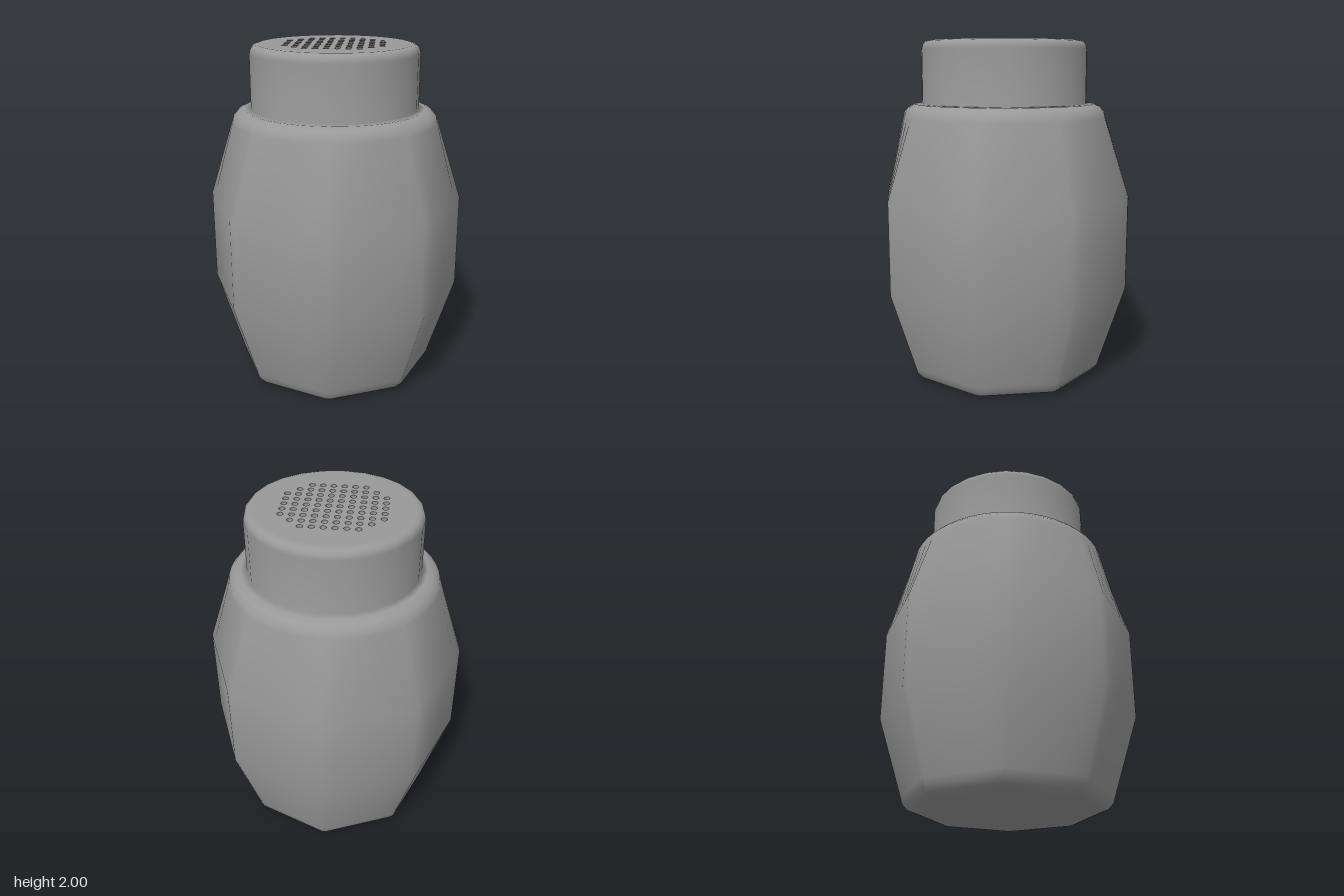
import * as THREE from 'three';

const rad = THREE.MathUtils.degToRad;
const lerp = THREE.MathUtils.lerp;

function part(name, geometry) {
  const mesh = new THREE.Mesh(geometry, new THREE.MeshStandardMaterial({ color: 0x999999 }));
  mesh.name = name;
  return mesh;
}

// Octagonal jar whose shoulder blends into a circle
function bodyGeometry() {
  // [radius, height, roundness: 0 = octagon, 1 = circle]
  const rings = [
    [0, 0, 0], [0.48, 0, 0], [0.52, 0.003, 0], [0.565, 0.02, 0], [0.592, 0.05, 0], [0.602, 0.085, 0],
    [0.75, 0.55, 0], [0.75, 1.1, 0],
    [0.602, 1.56, 0.9], [0.592, 1.59, 1], [0.565, 1.62, 1], [0.53, 1.635, 1], [0.5, 1.633, 1], [0, 1.633, 1],
  ];
  // Angles around each corner; the close pair makes its narrow bevel
  const angles = [];
  for (let corner = 0; corner < 8; corner++) {
    for (const d of [-15, -7.5, -1.2, 1.2, 7.5, 15, 22.5]) angles.push([corner * 45 + d, Math.abs(d)]);
  }
  const positions = [], index = [], n = angles.length;
  for (const [radius, y, round] of rings) {
    for (const [a, d] of angles) {
      const octagon = radius * Math.cos(rad(21.3)) / Math.cos(rad(22.5 - d));
      const r = lerp(octagon, radius, round);
      positions.push(r * Math.cos(rad(a)), y, r * Math.sin(rad(a)));
    }
  }
  for (let i = 0; i < rings.length - 1; i++) {
    for (let j = 0; j < n; j++) {
      const a = i * n + j, b = i * n + (j + 1) % n;
      index.push(a, a + n, b, b, a + n, b + n);
    }
  }
  const geometry = new THREE.BufferGeometry();
  geometry.setAttribute('position', new THREE.Float32BufferAttribute(positions, 3));
  geometry.setIndex(index);
  geometry.computeVertexNormals();

  // Turn the normals partly outward, so the corners shade softly
  const normal = geometry.attributes.normal;
  const v = new THREE.Vector3();
  for (let i = 0; i < normal.count; i++) {
    v.fromBufferAttribute(normal, i);
    const a = rad(angles[i % n][0]), h = Math.hypot(v.x, v.z);
    v.set(lerp(v.x, h * Math.cos(a), 0.6), v.y, lerp(v.z, h * Math.sin(a), 0.6)).normalize();
    normal.setXYZ(i, v.x, v.y, v.z);
  }
  return geometry;
}

// Flat lid with rows of small round holes
function perforatedTopGeometry(radius, depth) {
  const points = [];
  for (let i = 0; i < 24; i++) {
    const a = (i / 24) * Math.PI * 2;
    points.push(new THREE.Vector2(radius * Math.cos(a), radius * Math.sin(a)));
  }
  const shape = new THREE.Shape(points);
  const pitch = 0.0605;
  for (let row = -4; row <= 4; row++) {
    const count = [10, 10, 10, 8, 6][Math.abs(row)];
    for (let k = 0; k < count; k++) {
      const x = (k - (count - 1) / 2) * pitch;
      shape.holes.push(new THREE.Path().absarc(x, row * pitch, 0.017, 0, Math.PI * 2, true));
    }
  }
  const geometry = new THREE.ExtrudeGeometry(shape, { depth, bevelEnabled: false, curveSegments: 12 });
  return geometry.rotateX(-Math.PI / 2);
}

export function createModel() {
  const group = new THREE.Group();
  group.name = 'shaker';

  group.add(part('body', bodyGeometry()));

  // Round cap flowing out of the shoulder, with a soft upper edge
  const profile = [
    [0.525, 1.636], [0.489, 1.638], [0.489, 1.95], [0.482, 1.977], [0.468, 1.993], [0.445, 2], [0.42, 2],
  ].map(([r, y]) => new THREE.Vector2(r, y));
  group.add(part('cap', new THREE.LatheGeometry(profile, 24)));

  const top = part('perforatedTop', perforatedTopGeometry(0.42, 0.03));
  top.position.y = 1.97;
  group.add(top);

  // Closes the holes below
  const floor = part('holeFloor', new THREE.CircleGeometry(0.415, 24).rotateX(-Math.PI / 2));
  floor.position.y = 1.972;
  group.add(floor);

  return group;
}
